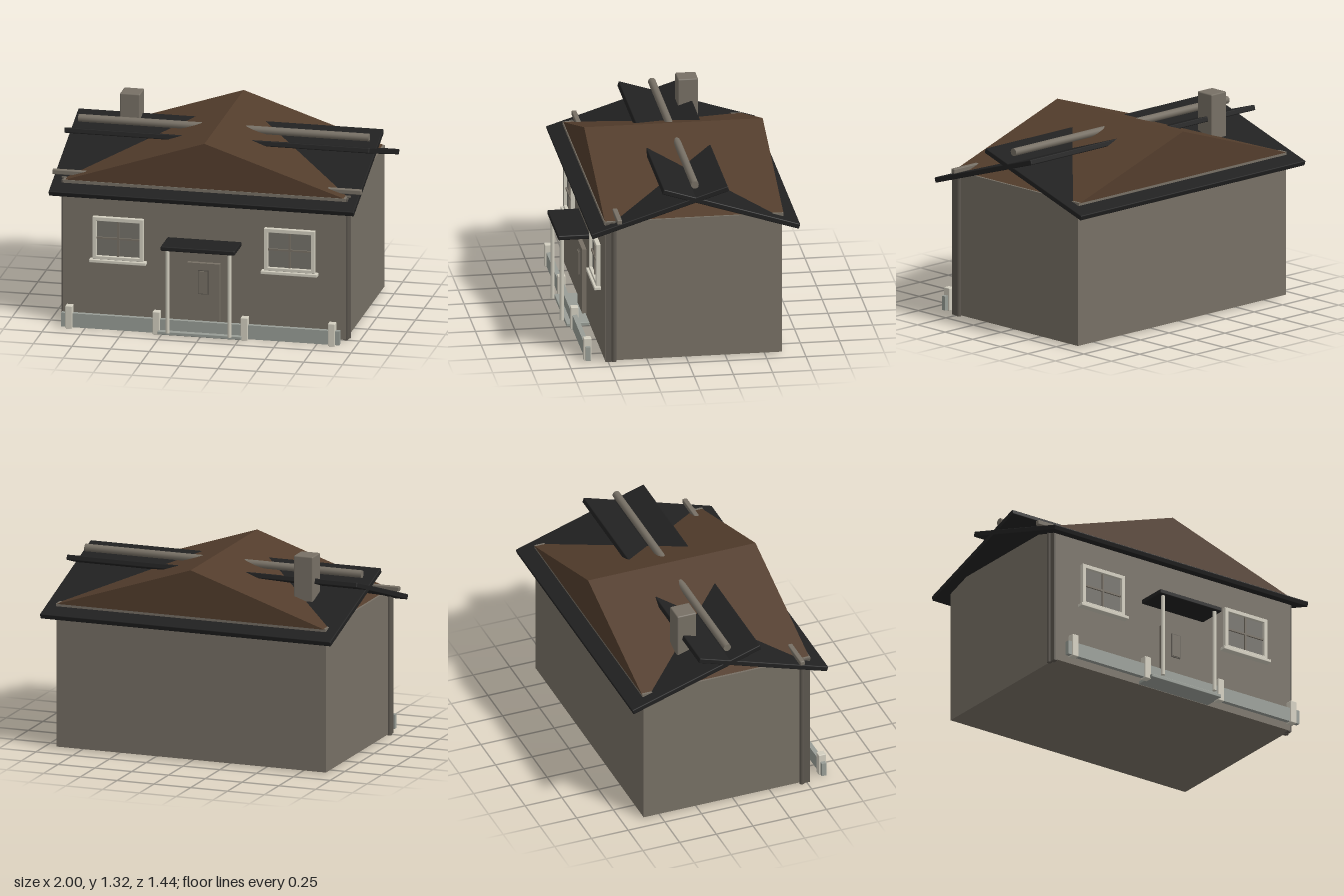
import * as THREE from 'three';
import { RoundedBoxGeometry } from 'three/addons/geometries/RoundedBoxGeometry.js';

function material(name, color, side = THREE.FrontSide) {
  const m = new THREE.MeshStandardMaterial({ color, side });
  m.name = name;
  return m;
}

export function createModel() {
  const house = new THREE.Group();
  house.name = 'house';
  const wall = material('wall stone', 0x777065);
  const brown = material('roof brown', 0x533d2c);
  const black = material('slate black', 0x212121);
  const trim = material('cream trim', 0xd2cebf);
  const fenceGrey = material('fence grey', 0x989d96);
  const pipe = material('pipe grey', 0x5c574f);
  const glass = material('window glass', 0x74716a);

  const add = (name, geometry, mat, parent = house) => {
    const mesh = new THREE.Mesh(geometry, mat);
    mesh.name = name;
    parent.add(mesh);
    return mesh;
  };
  // Box given by its limits on each axis
  const box = (name, mat, [x0, x1], [y0, y1], [z0, z1], parent = house, radius = 0) => {
    const size = [x1 - x0, y1 - y0, z1 - z0];
    const geometry = radius ? new RoundedBoxGeometry(...size, 2, radius) : new THREE.BoxGeometry(...size);
    const mesh = add(name, geometry, mat, parent);
    mesh.position.set((x0 + x1) / 2, (y0 + y1) / 2, (z0 + z1) / 2);
    return mesh;
  };

  // Walls
  box('walls', wall, [-0.915, 0.915], [0.01, 0.94], [-0.61, 0.52]);
  box('eaveBoard', wall, [-0.915, 0.915], [0.926, 0.945], [-0.618, 0.525]);

  // Gabled roof with its ridge running front to back
  const gable = new THREE.Shape();
  gable.moveTo(-0.91, 0.942);
  gable.lineTo(0.91, 0.942);
  gable.lineTo(0, 1.245);
  const roof = add('gableRoof', new THREE.ExtrudeGeometry(gable, { depth: 1.14, bevelEnabled: false }), brown);
  roof.position.z = -0.62;

  // Two sloping slabs that cross over the house
  const slab = (name, zLow, zHigh) => {
    const dz = zHigh - zLow, dy = 0.28;
    const mesh = add(name, new RoundedBoxGeometry(1.975, 0.034, Math.hypot(dz, dy), 2, 0.006), black);
    mesh.position.set(0, 1.015, (zLow + zHigh) / 2);
    mesh.rotation.x = -Math.atan(dy / dz);
  };
  slab('frontRoofSlab', 0.615, -0.258);
  slab('backRoofSlab', -0.712, 0.16);

  // Ridge pole and gutter
  const ridge = add('ridgePole', new THREE.CylinderGeometry(0.025, 0.025, 1.88, 12), wall);
  ridge.rotation.z = Math.PI / 2;
  ridge.position.set(0, 1.174, -0.05);
  box('gutter', wall, [-1, 1], [0.953, 0.984], [0.423, 0.455], house, 0.006);

  // Chimney
  box('chimney', wall, [-0.7, -0.57], [0.96, 1.318], [-0.293, -0.163], house, 0.008);

  // Downpipes and corner boards, mirrored
  for (const s of [-1, 1]) {
    const down = add('downpipe', new THREE.CylinderGeometry(0.016, 0.016, 0.94, 12), pipe);
    down.position.set(s * 0.921, 0.475, 0.465);
    const board = box('cornerBoard', pipe, [-0.014, 0.014], [0.005, 0.94], [0.482, 0.519]);
    board.position.x = s * 0.912;
  }

  // Windows
  for (const s of [-1, 1]) {
    const win = new THREE.Group();
    win.name = 'window';
    win.position.x = s * 0.555;
    house.add(win);
    box('glass', glass, [-0.145, 0.145], [0.46, 0.7], [0.52, 0.528], win);
    for (const side of [-1, 1]) {
      const jamb = box('jamb', trim, [-0.0125, 0.0125], [0.44, 0.72], [0.515, 0.548], win, 0.003);
      jamb.position.x = side * 0.152;
    }
    box('frameTop', trim, [-0.164, 0.164], [0.694, 0.72], [0.515, 0.548], win, 0.003);
    box('frameBottom', trim, [-0.164, 0.164], [0.44, 0.462], [0.515, 0.548], win, 0.003);
    box('sill', trim, [-0.183, 0.183], [0.42, 0.441], [0.515, 0.563], win, 0.004);
    box('mullion', wall, [-0.006, 0.006], [0.46, 0.7], [0.525, 0.538], win);
    box('crossbar', wall, [-0.142, 0.142], [0.573, 0.585], [0.525, 0.538], win);
  }

  // Door with a raised panel
  box('door', wall, [-0.105, 0.105], [0.02, 0.46], [0.515, 0.548]);
  box('doorPanelRim', pipe, [-0.035, 0.035], [0.257, 0.417], [0.54, 0.555]);
  box('doorPanel', wall, [-0.029, 0.029], [0.263, 0.411], [0.54, 0.56]);

  // Porch: canopy, posts and step
  box('canopy', black, [-0.24, 0.24], [0.58, 0.61], [0.515, 0.72], house, 0.007);
  box('doorStep', fenceGrey, [-0.27, 0.27], [0.008, 0.03], [0.525, 0.672], house, 0.004);
  for (const s of [-1, 1]) {
    const post = add('canopyPost', new THREE.CylinderGeometry(0.013, 0.013, 0.55, 12), trim);
    post.position.set(s * 0.2, 0.305, 0.692);
  }

  // Low front fence
  box('fencePanel', fenceGrey, [-0.9, 0.9], [0.008, 0.1], [0.61, 0.64]);
  for (const x of [-0.85, -0.285, 0.285, 0.85]) {
    const post = box('fencePost', trim, [-0.023, 0.023], [0, 0.15], [0.6, 0.65], house, 0.005);
    post.position.x = x;
  }
  return house;
}
